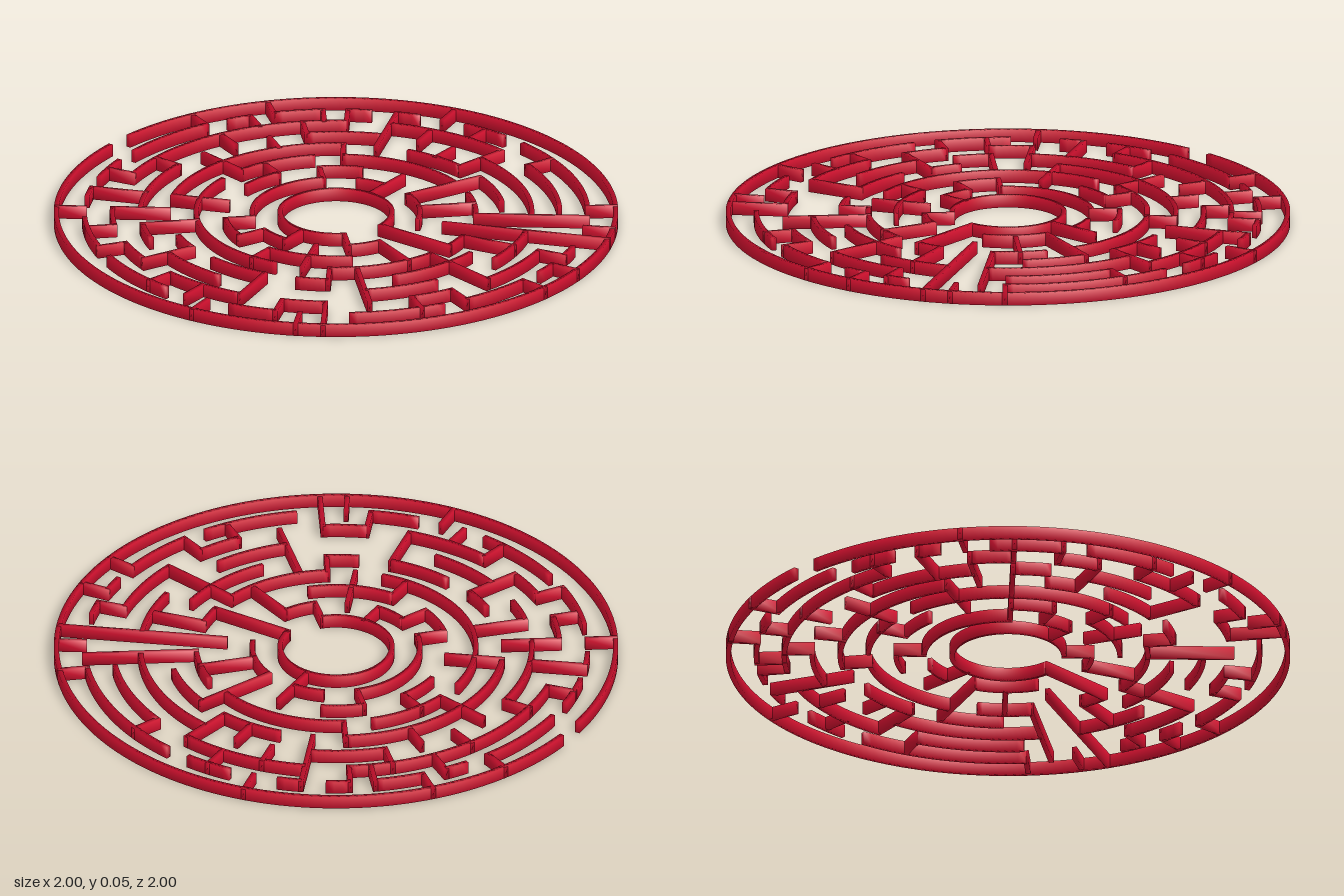
import * as THREE from 'three';

const STEP = 0.0991;             // spacing between rings
const HALF = 0.009;              // half the wall thickness
const HEIGHT = 0.045;
const UNIT = Math.PI * 2 / 64;   // one cell, clockwise from the back

// Curved walls per ring: [start cell, end cell]
const ARCS = {
  2: [[40, 96]],
  3: [[12, 16], [20, 28], [36, 40], [48, 52], [56, 72]],
  4: [[0, 4], [8, 12], [40, 48], [52, 56]],
  5: [[2, 8], [10, 20], [22, 26], [30, 32], [34, 42], [46, 64]],
  6: [[14, 18], [20, 24], [32, 38], [42, 44], [46, 50], [52, 54], [60, 74]],
  7: [[8, 12], [18, 26], [28, 32], [36, 40], [48, 52], [54, 56], [58, 64]],
  8: [[12, 18], [20, 25], [30, 34], [36, 38], [42, 44], [46, 50], [52, 54], [56, 58], [62, 74]],
  9: [[0, 4], [5, 6], [7, 9], [10, 11], [12, 13], [15, 17], [18, 25], [29, 30], [31, 32],
    [33, 36], [37, 41], [44, 46], [49, 53], [54, 57], [59, 60], [61, 63]],
  10: [[1, 64]],
};

// Straight walls per span of rings: 'inner-outer': cells
const SPOKES = {
  '2-3': [40, 48], '2-4': [16], '2-5': [32],
  '3-4': [8, 52, 56], '3-5': [24, 36, 44], '3-6': [20],
  '4-5': [4, 48], '4-6': [60], '4-10': [28],
  '5-6': [10, 42], '5-7': [2, 30, 56], '5-8': [34, 40], '5-9': [26],
  '6-7': [6, 16], '6-8': [18, 46, 52, 58], '6-9': [12],
  '7-8': [0, 4, 8, 14], '7-9': [60],
  '8-9': [6, 9, 10, 16, 20, 30, 36, 38, 44, 48, 50, 54, 56, 62], '8-10': [42],
  '9-10': [4, 7, 14, 25, 27, 31, 33, 43, 47, 58],
};

// Sweeps the rectangular wall section along frames of {x, z, sx, sz} (s = sideways)
function sweepWall(frames) {
  const pos = [], index = [];
  for (const { x, z, sx, sz } of frames) {
    for (const [s, y] of [[-HALF, 0], [HALF, 0], [HALF, HEIGHT], [-HALF, HEIGHT]]) {
      pos.push(x + sx * s, y, z + sz * s);
    }
  }
  const last = (frames.length - 1) * 4;
  for (let i = 0; i < last; i += 4) {
    for (let j = 0; j < 4; j++) {
      const k = (j + 1) % 4;
      index.push(i + j, i + k, i + 4 + k, i + j, i + 4 + k, i + 4 + j);
    }
  }
  index.push(0, 3, 2, 0, 2, 1, last, last + 1, last + 2, last, last + 2, last + 3);
  const geo = new THREE.BufferGeometry();
  geo.setAttribute('position', new THREE.Float32BufferAttribute(pos, 3));
  geo.setIndex(index);
  geo.computeVertexNormals();
  return geo;
}

function arcWall(ring, from, to) {
  const r = ring * STEP, n = (to - from) * 3, frames = [];
  for (let i = 0; i <= n; i++) {
    const a = (from + (to - from) * i / n) * UNIT;
    const sx = Math.sin(a), sz = -Math.cos(a);
    frames.push({ x: r * sx, z: r * sz, sx, sz });
  }
  return sweepWall(frames);
}

function spokeWall(cell, inner, outer) {
  const a = cell * UNIT, s = Math.sin(a), c = Math.cos(a);
  // Run slightly past the ring centre lines so corners close
  return sweepWall([inner * STEP - HALF, outer * STEP + HALF]
    .map((r) => ({ x: r * s, z: -r * c, sx: -c, sz: -s })));
}

export function createModel() {
  const maze = new THREE.Group();
  maze.name = 'circularMaze';
  const material = new THREE.MeshStandardMaterial({ color: 0xd0102e });
  const add = (geo, name, parent) => {
    const mesh = new THREE.Mesh(geo, material);
    mesh.name = name;
    parent.add(mesh);
  };

  // Concentric walls, one group per ring
  for (const [ring, arcs] of Object.entries(ARCS)) {
    const group = new THREE.Group();
    group.name = ring === '10' ? 'outerRing' : ring === '2' ? 'centreRing' : `ring${ring}`;
    for (const [from, to] of arcs) add(arcWall(+ring, from, to), 'curvedWall', group);
    maze.add(group);
  }

  // Radial walls
  const spokes = new THREE.Group();
  spokes.name = 'radialWalls';
  for (const [span, cells] of Object.entries(SPOKES)) {
    const [inner, outer] = span.split('-').map(Number);
    for (const cell of cells) add(spokeWall(cell, inner, outer), 'radialWall', spokes);
  }
  maze.add(spokes);
  return maze;
}
